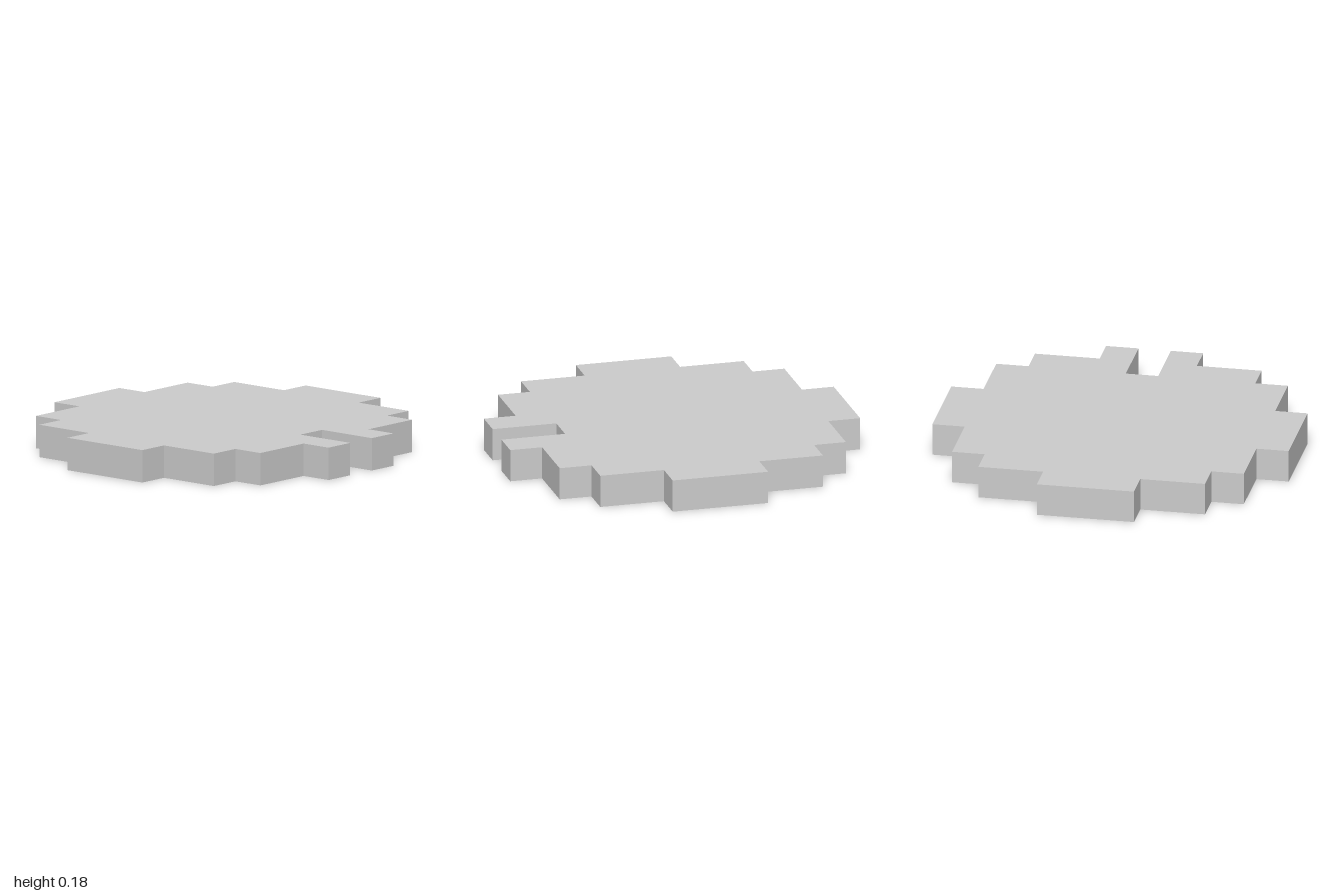
import * as THREE from 'three';

const CELL = 2 / 11; // the outline follows an 11 x 11 grid

export function createModel() {
  const group = new THREE.Group();
  group.name = 'steppedDisc';

  // Stepped quarter outline in cells, from the +x side round to the far side
  const quarter = [
    [5.5, 1.5], [4.5, 1.5], [4.5, 3.5], [3.5, 3.5],
    [3.5, 4.5], [1.5, 4.5], [1.5, 5.5],
  ];
  const mirrored = [...quarter].reverse();

  // Four mirrored quarters, closed by the slot cut into the +x side
  const outline = [
    ...quarter,
    ...mirrored.map(([x, y]) => [-x, y]),
    ...quarter.map(([x, y]) => [-x, -y]),
    ...mirrored.map(([x, y]) => [x, -y]),
    [5.5, -0.5], [3.5, -0.5], [3.5, 0.5], [5.5, 0.5],
  ].map(([x, y]) => new THREE.Vector2(x * CELL, y * CELL));

  // Flat plate, one cell thick, laid on the ground
  const geometry = new THREE.ExtrudeGeometry(new THREE.Shape(outline), {
    depth: CELL,
    bevelEnabled: false,
  });
  geometry.rotateX(-Math.PI / 2);

  const plate = new THREE.Mesh(
    geometry,
    new THREE.MeshStandardMaterial({ color: 0xcccccc, flatShading: true })
  );
  plate.name = 'slottedPlate';
  group.add(plate);
  return group;
}
